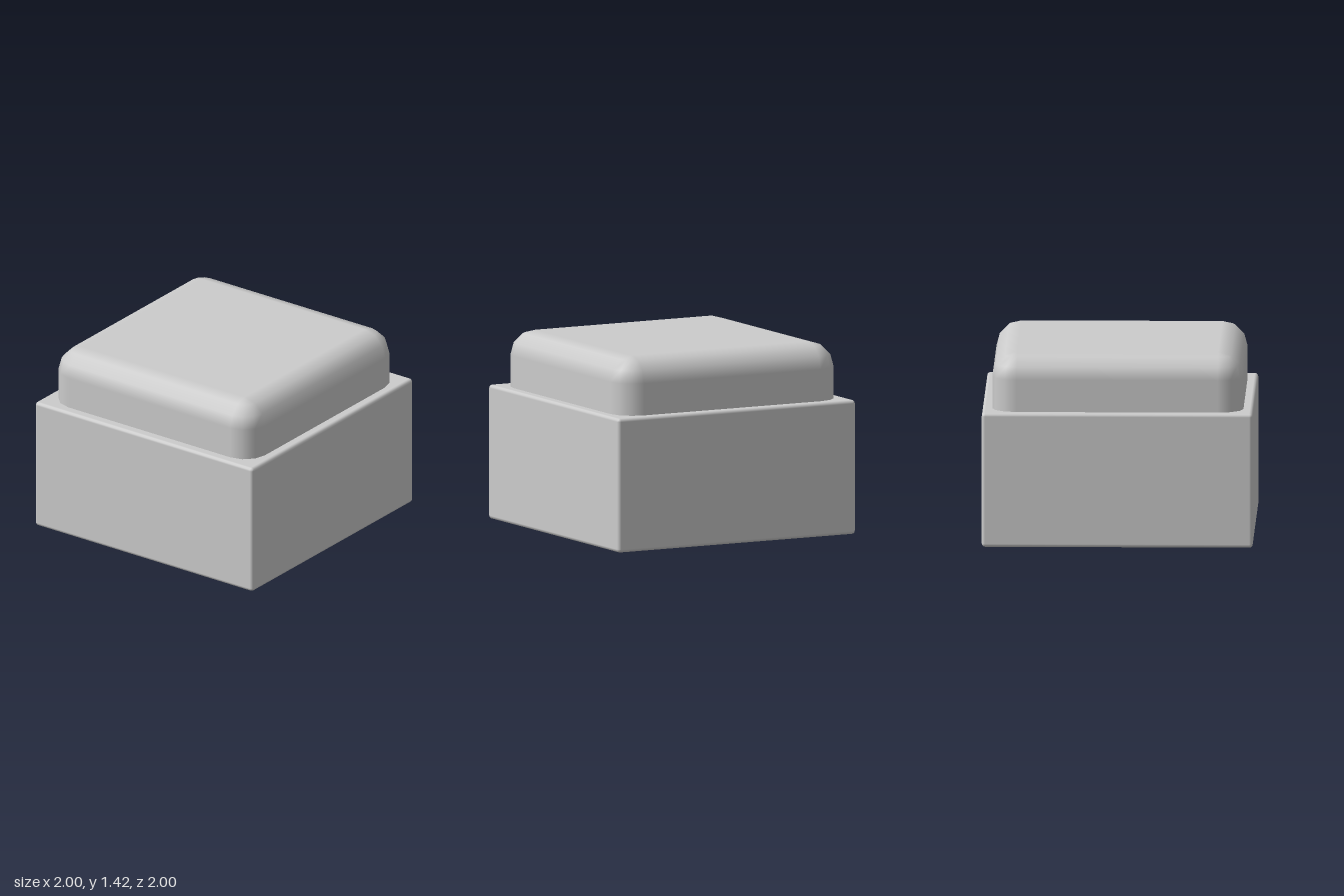
import * as THREE from 'three';

const material = new THREE.MeshStandardMaterial({ color: 0xcccccc });

// Square block with every edge rounded by radius r in n steps,
// built from rounded-square loops stacked from bottom to top.
function roundedBlock(name, half, bottom, top, r, n) {
  const positions = [], normals = [], index = [];
  const core = half - r;
  const perLoop = 4 * (n + 1), loops = 2 * (n + 1);
  const addVertex = (p, q) => { positions.push(...p); normals.push(...q); };

  for (let i = 0; i < loops; i++) {
    const lower = i <= n;
    const phi = (lower ? i - n : i - n - 1) / n * Math.PI / 2;
    const yCore = lower ? bottom + r : top - r;
    for (let corner = 0; corner < 4; corner++) {
      const mid = (corner + 0.5) * Math.PI / 2;
      const cx = Math.sign(Math.cos(mid)) * core, cz = -Math.sign(Math.sin(mid)) * core;
      for (let k = 0; k <= n; k++) {
        const theta = (corner + k / n) * Math.PI / 2;
        const nx = Math.cos(phi) * Math.cos(theta);
        const ny = Math.sin(phi);
        const nz = -Math.cos(phi) * Math.sin(theta);
        addVertex([cx + r * nx, yCore + r * ny, cz + r * nz], [nx, ny, nz]);
      }
    }
  }

  // Flat centres of the bottom and top faces
  const low = loops * perLoop, high = low + 1;
  addVertex([0, bottom, 0], [0, -1, 0]);
  addVertex([0, top, 0], [0, 1, 0]);

  for (let j = 0; j < perLoop; j++) {
    const next = (j + 1) % perLoop;
    for (let i = 0; i < loops - 1; i++) {
      const a = i * perLoop + j, b = i * perLoop + next;
      index.push(a, b, b + perLoop, a, b + perLoop, a + perLoop);
    }
    const last = (loops - 1) * perLoop;
    index.push(low, next, j, high, last + j, last + next);
  }

  const geometry = new THREE.BufferGeometry();
  geometry.setAttribute('position', new THREE.Float32BufferAttribute(positions, 3));
  geometry.setAttribute('normal', new THREE.Float32BufferAttribute(normals, 3));
  geometry.setIndex(index);
  const mesh = new THREE.Mesh(geometry, material);
  mesh.name = name;
  return mesh;
}

export function createModel() {
  const model = new THREE.Group();
  model.name = 'cushionedStool';
  // Crisp box with a fine bevel
  model.add(roundedBlock('base', 1, 0, 1, 0.025, 3));
  // Soft pad sunk into the top of the base
  model.add(roundedBlock('cushion', 0.927, 0.75, 1.423, 0.185, 3));
  return model;
}
